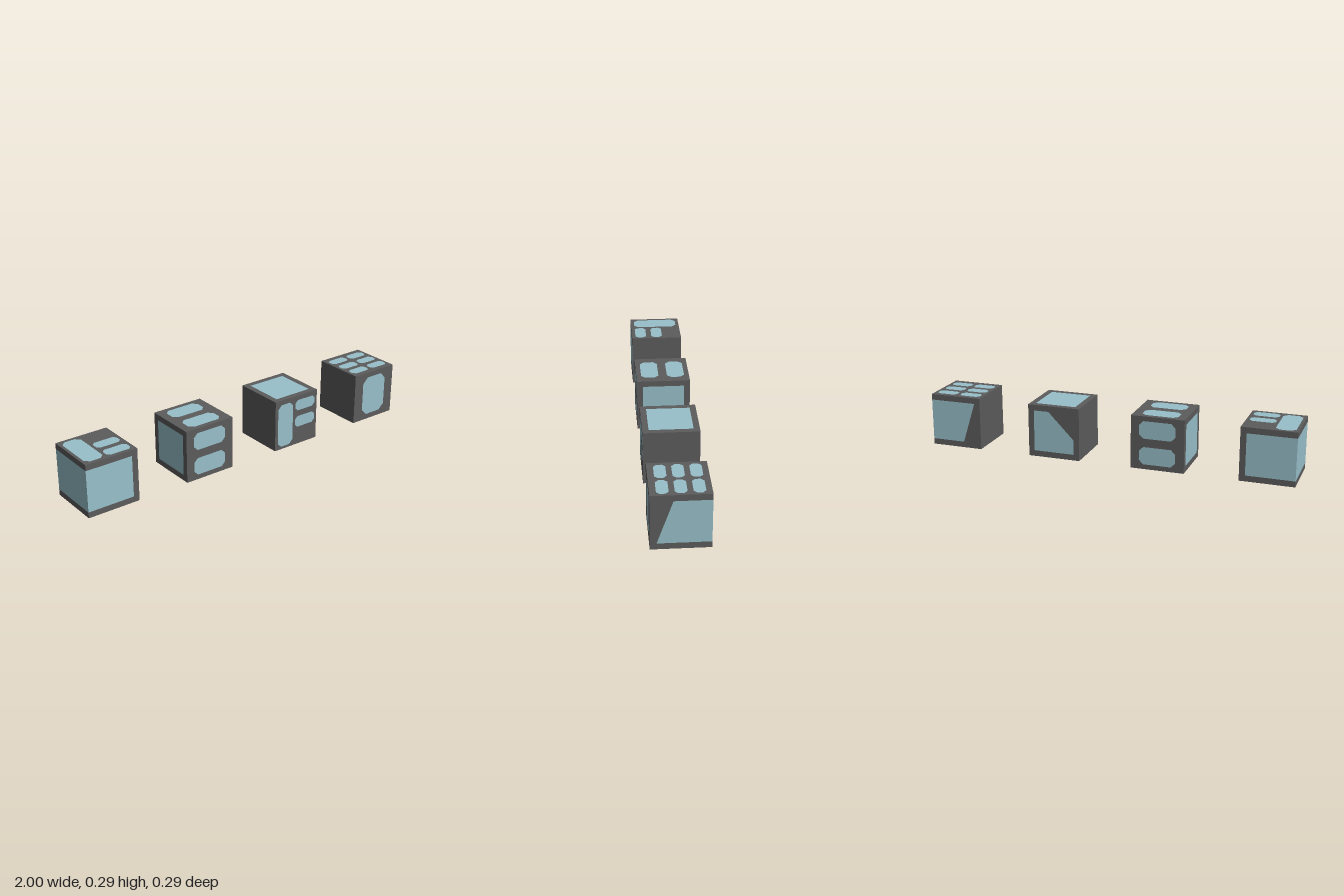
import * as THREE from 'three';

const S = 2 / 7;          // cube edge
const LO = 0.11, HI = 0.89; // usual window margins, as fractions of a face

const frameMaterial = new THREE.MeshStandardMaterial({ color: 0x5c5c5c });
const paneMaterial = new THREE.MeshStandardMaterial({ color: 0x98c0ca });

// Rotation that turns a +z face to each side of the cube
const SIDES = {
  front: [0, 0], back: [0, Math.PI], right: [0, Math.PI / 2],
  left: [0, -Math.PI / 2], top: [-Math.PI / 2, 0], bottom: [Math.PI / 2, 0],
};

// Outlines are in face fractions: u to the right, v up, both 0..1
const rect = (u0, v0, u1, v1) => [[u0, v0], [u1, v0], [u1, v1], [u0, v1]];
const FULL = rect(0, 0, 1, 1);
const octagon = (u0, v0, u1, v1, c) => [
  [u0 + c, v0], [u1 - c, v0], [u1, v0 + c], [u1, v1 - c],
  [u1 - c, v1], [u0 + c, v1], [u0, v1 - c], [u0, v0 + c],
];

// Face descriptions: frame outlines, and panes that fill holes in them
const plain = { frames: [FULL], panes: [] };
const windows = (...panes) => ({ frames: [FULL], panes, holes: true });
const glass = { frames: [], panes: [FULL] };
const squareWindow = windows(rect(LO, LO, HI, HI));
const band = { frames: [rect(0, 0, 1, LO), rect(0, HI, 1, 1)], panes: [rect(0, LO, 1, HI)] };

// Windows that run out over the left or right edge of the face
const openLeft = (bottomU, topU) => ({
  frames: [[[0, 0], [1, 0], [1, 1], [0, 1], [0, HI], [topU, HI], [bottomU, LO], [0, LO]]],
  panes: [[[0, LO], [bottomU, LO], [topU, HI], [0, HI]]],
});
const openRight = (bottomU, topU) => ({
  frames: [[[0, 0], [1, 0], [1, LO], [bottomU, LO], [topU, HI], [1, HI], [1, 1], [0, 1]]],
  panes: [[[bottomU, LO], [1, LO], [1, HI], [topU, HI]]],
});

const twoBars = windows(
  octagon(0.155, 0.58, 0.835, 0.91, 0.08),
  octagon(0.155, 0.09, 0.835, 0.42, 0.08),
);

// Six small panes in two columns
const sixPanes = [];
for (const [u0, u1] of [[0.065, 0.475], [0.54, 0.945]]) {
  for (const v0 of [0.11, 0.405, 0.7]) sixPanes.push(octagon(u0, v0, u1, v0 + 0.2, 0.055));
}

const CUBES = [
  { // wrap-around band on the left side
    front: openLeft(HI, HI), left: band, back: openRight(LO, LO),
    top: windows(
      octagon(0.055, 0.07, 0.415, 0.935, 0.08),
      octagon(0.47, 0.395, 0.94, 0.615, 0.055),
      octagon(0.47, 0.07, 0.94, 0.29, 0.055),
    ),
  },
  { // paired bars with square side windows
    front: twoBars, back: twoBars, top: twoBars, left: squareWindow, right: squareWindow,
  },
  { // tall pane with two small ones, roof window, cut-corner back window
    front: windows(
      octagon(0.065, 0.05, 0.42, 0.91, 0.08),
      octagon(0.477, 0.695, 0.945, 0.905, 0.055),
      octagon(0.477, 0.355, 0.945, 0.575, 0.055),
    ),
    top: squareWindow,
    back: windows([[LO, LO], [HI, LO], [HI, 0.39], [0.4, HI], [LO, HI]]),
  },
  { // slanted window around the rear corner, glass base
    front: windows(octagon(0.215, 0.105, 0.795, 0.895, 0.115)),
    top: windows(...sixPanes),
    right: openRight(LO, 0.378), back: openLeft(0.64, HI), bottom: glass,
  },
];

const points = (outline) =>
  outline.map(([u, v]) => new THREE.Vector2((u - 0.5) * S, (v - 0.5) * S));

function flatMesh(name, shapes, material) {
  const mesh = new THREE.Mesh(new THREE.ShapeGeometry(shapes), material);
  mesh.name = name;
  mesh.position.z = S / 2;
  return mesh;
}

function createFace(side, { frames, panes, holes }) {
  const face = new THREE.Group();
  face.name = side + 'Face';
  face.rotation.set(SIDES[side][0], SIDES[side][1], 0);
  const frameShapes = frames.map((outline) => new THREE.Shape(points(outline)));
  if (holes) frameShapes[0].holes = panes.map((outline) => new THREE.Path(points(outline)));
  if (frames.length) face.add(flatMesh('frame', frameShapes, frameMaterial));
  if (panes.length) {
    const paneShapes = panes.map((outline) => new THREE.Shape(points(outline)));
    face.add(flatMesh('windowPanes', paneShapes, paneMaterial));
  }
  return face;
}

export function createModel() {
  const model = new THREE.Group();
  model.name = 'windowCubes';
  // Four cubes in a row, one cube-width apart
  CUBES.forEach((faces, i) => {
    const cube = new THREE.Group();
    cube.name = 'cube' + (i + 1);
    cube.position.set((i - 1.5) * 2 * S, S / 2, 0);
    for (const side of Object.keys(SIDES)) cube.add(createFace(side, faces[side] ?? plain));
    model.add(cube);
  });
  return model;
}
